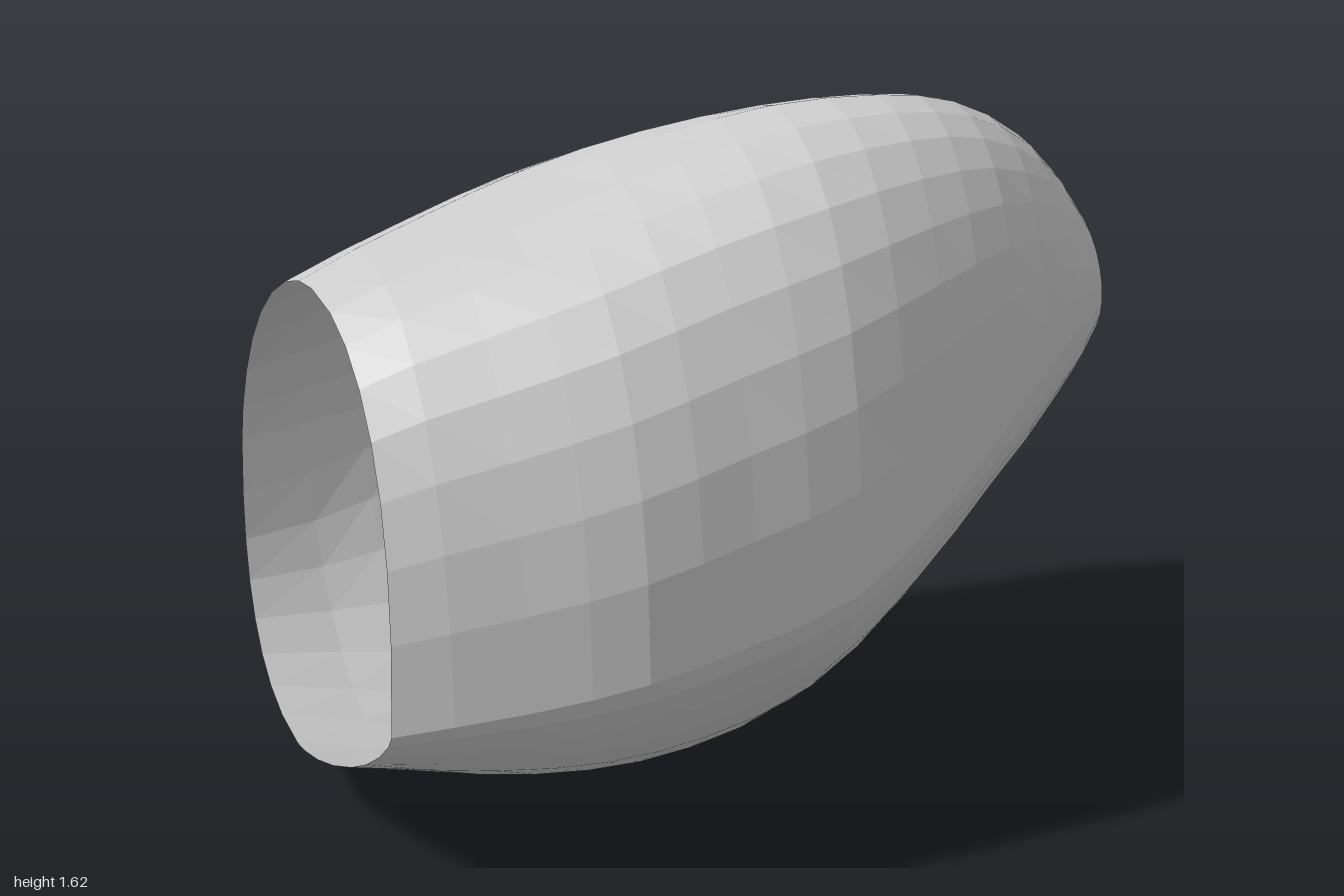
import * as THREE from 'three';

const { lerp, smoothstep } = THREE.MathUtils;
const SEGMENTS = 32;
const RINGS_PER_SPAN = 2;

// Key cross-sections: x, topY, topZ, bottomY, bottomZ, frontZ, frontY, backZ, backY
const KEYS = [
  [-0.96, 1.29, 0.08, 0.15, -0.03, 0.59, 0.46, -0.56, 0.70],
  [-0.65, 1.39, 0.05, 0.05, -0.03, 0.68, 0.51, -0.68, 0.69],
  [-0.40, 1.47, 0.04, 0.005, -0.02, 0.735, 0.56, -0.74, 0.68],
  [-0.15, 1.55, 0.09, 0.00, -0.02, 0.71, 0.60, -0.68, 0.69],
  [0.10, 1.61, 0.15, 0.085, 0.00, 0.68, 0.66, -0.58, 0.74],
  [0.34, 1.615, 0.17, 0.27, 0.03, 0.58, 0.78, -0.56, 0.85],
  [0.55, 1.565, 0.12, 0.56, 0.02, 0.48, 0.93, -0.555, 0.93],
  [0.76, 1.44, 0.03, 0.735, -0.05, 0.33, 1.03, -0.46, 1.01],
  [0.92, 1.26, -0.06, 0.885, -0.09, 0.18, 1.06, -0.29, 1.05],
  [1.0, 1.085, -0.09, 1.015, -0.09, -0.05, 1.05, -0.13, 1.05],
];

// Smooth in-between sections along the body
function blendSections() {
  const spans = KEYS.length - 1;
  const spline = new THREE.CubicInterpolant(KEYS.map((_, i) => i), KEYS.flat(), KEYS[0].length);
  return Array.from({ length: spans * RINGS_PER_SPAN + 1 },
    (_, i) => Array.from(spline.evaluate(i / RINGS_PER_SPAN)));
}

// Fullness of each quadrant along x: 1 is a straight chamfer, 2 an ellipse, more is boxy
function fullness(x, up, front) {
  const tip = smoothstep(x, 0.6, 0.95);
  if (up && front) return lerp(2.35, 2, tip);
  if (up) return lerp(lerp(1.72, 1.48, smoothstep(x, -0.3, 0.2)), 2, smoothstep(x, 0.4, 0.9));
  if (front) return lerp(1.38, 2, smoothstep(x, 0.3, 0.76));
  const rim = lerp(2.4, 1.65, smoothstep(x, -1, -0.5));
  return lerp(lerp(rim, 2.45, smoothstep(x, 0.12, 0.42)), 2, tip);
}

// Four superelliptic quadrants joined at the extreme points of a section
function sectionPoint(section, j) {
  const [x, topY, topZ, bottomY, bottomZ, frontZ, frontY, backZ, backY] = section;
  const angle = (j / SEGMENTS) * Math.PI * 2;
  const c = Math.cos(angle), s = Math.sin(angle);
  const up = s >= 0, front = c >= 0;
  const power = 2 / fullness(x, up, front);
  const midZ = up ? topZ : bottomZ;
  const midY = front ? frontY : backY;
  const z = midZ + ((front ? frontZ : backZ) - midZ) * Math.abs(c) ** power;
  const y = midY + ((up ? topY : bottomY) - midY) * Math.abs(s) ** power;
  return [x, y, z];
}

// Skin the sections, leaving both ends open
function loft(sections) {
  const positions = [], indices = [];
  sections.forEach((section, i) => {
    for (let j = 0; j < SEGMENTS; j++) {
      const [x, y, z] = sectionPoint(section, j);
      // the large open rim leans and curves slightly
      const lean = i === 0 ? 0.05 * z + 0.06 * z * z + 0.05 * (y - 0.8) : 0;
      positions.push(x + lean, y, z);
    }
  });
  for (let i = 0; i < sections.length - 1; i++) {
    for (let j = 0; j < SEGMENTS; j++) {
      const k = (j + 1) % SEGMENTS;
      const a = i * SEGMENTS + j, b = a + SEGMENTS;
      const c = i * SEGMENTS + k, d = c + SEGMENTS;
      indices.push(a, b, c, c, b, d);
    }
  }
  const geometry = new THREE.BufferGeometry();
  geometry.setAttribute('position', new THREE.Float32BufferAttribute(positions, 3));
  geometry.setIndex(indices);
  geometry.computeVertexNormals();
  return geometry;
}

export function createModel() {
  const group = new THREE.Group();
  group.name = 'hollowShell';
  const material = new THREE.MeshStandardMaterial({
    color: 0xcccccc, flatShading: true, side: THREE.DoubleSide,
  });
  // Thin shell: wide opening at one end, small hole at the tip
  const shell = new THREE.Mesh(loft(blendSections()), material);
  shell.name = 'shell';
  group.add(shell);
  return group;
}
